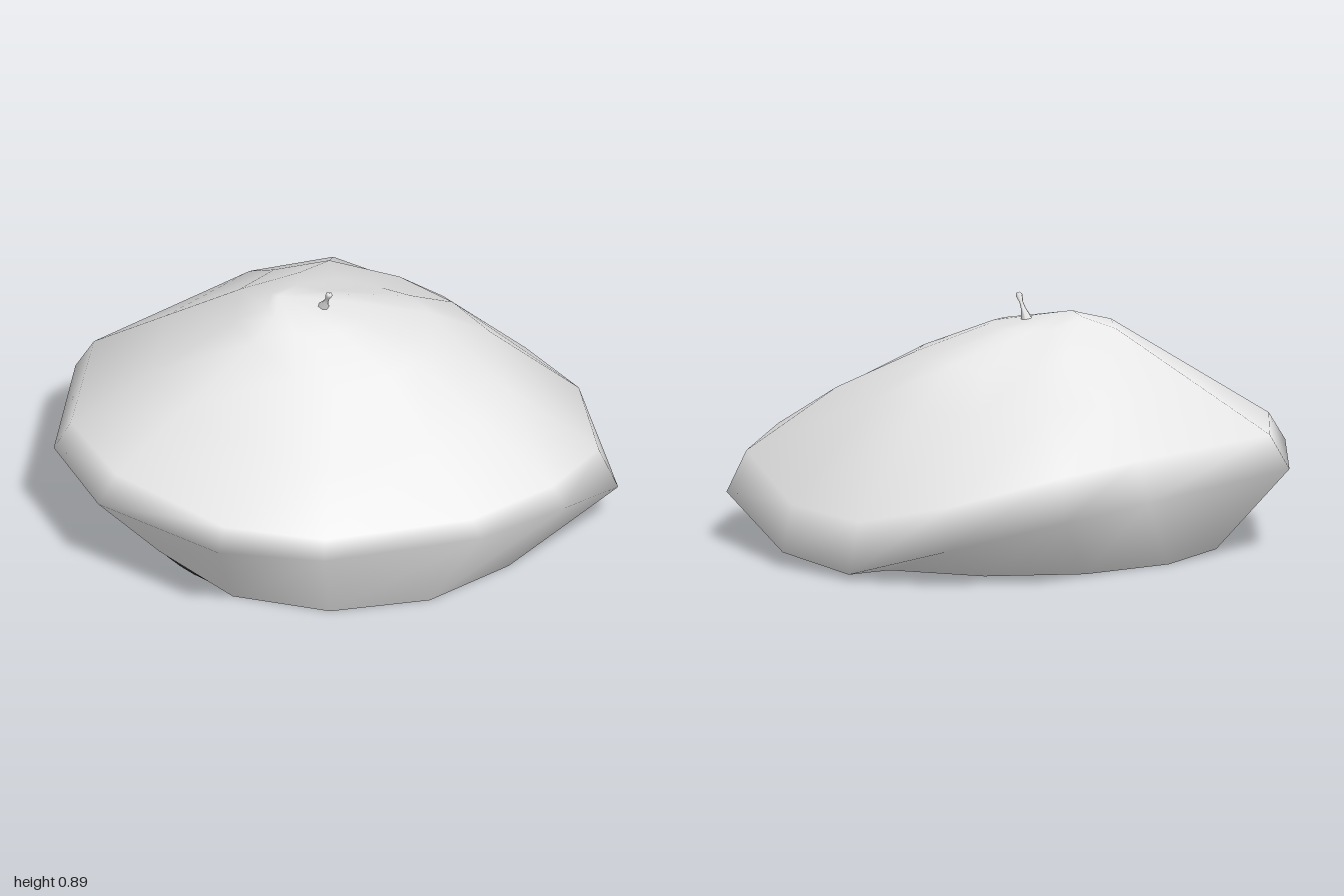
import * as THREE from 'three';

export function createModel() {
  const cloth = new THREE.MeshStandardMaterial({ color: 0xe8e8e8, side: THREE.DoubleSide });
  cloth.name = 'pale grey cloth';
  const dark = new THREE.MeshStandardMaterial({ color: 0x222222, side: THREE.DoubleSide });
  dark.name = 'black lining';

  const group = new THREE.Group();
  group.name = 'softCap';

  const add = (name, geometry, material) => {
    const mesh = new THREE.Mesh(geometry, material);
    mesh.name = name;
    group.add(mesh);
    return mesh;
  };

  // Widest outline of the cap: x, z, height of the rim, height and inset of the shoulder above it
  const outline = [
    [1.0, -0.13, 0.02, 0.20, 0.94], [0.94, 0.24, 0.05, 0.22, 0.96], [0.65, 0.77, 0.17, 0.32, 0.93],
    [0.3, 0.91, 0.29, 0.36, 0.94], [-0.09, 0.92, 0.32, 0.365, 0.93], [-0.62, 0.69, 0.32, 0.38, 0.95],
    [-0.88, 0.41, 0.32, 0.40, 0.95], [-1.0, -0.12, 0.31, 0.41, 0.925], [-0.89, -0.51, 0.31, 0.41, 0.94],
    [-0.48, -0.9, 0.30, 0.42, 0.93], [0.3, -0.93, 0.28, 0.42, 0.92], [0.64, -0.84, 0.24, 0.39, 0.93],
    [0.9, -0.5, 0.13, 0.28, 0.94],
  ];
  const n = outline.length;

  // Cross-section rings from the head opening up to the crown
  const rings = [[], [], [], [], [], []];
  outline.forEach(([x, z, rimY, shoulderY, inset], i) => {
    const r = Math.hypot(x, z), dx = x / r, dz = z / r;
    const angle = -0.13 + i * 2 * Math.PI / n;
    const lift = i === 7 ? 0.03 : 0;
    const sag = Math.max(0, -dx * dz);
    const topRadius = 0.36 - 0.03 * dz;
    const shoulder = new THREE.Vector3(x * inset, shoulderY, z * inset);
    const top = new THREE.Vector3(
      dx * topRadius, 0.73 - 0.036 * (dx + dz) - 0.12 * sag, dz * topRadius);
    const middle = shoulder.clone().lerp(top, 0.5);
    const bulge = Math.max(0, dx);
    middle.x -= 0.07 * bulge * dx;
    middle.y += 0.11 * bulge * dx;
    rings[0].push(new THREE.Vector3(Math.cos(angle) * 0.755, lift, Math.sin(angle) * 0.75));
    rings[1].push(new THREE.Vector3(x, rimY, z));
    rings[2].push(shoulder);
    rings[3].push(middle);
    rings[4].push(top);
    rings[5].push(new THREE.Vector3(
      -0.07 + dx * 0.16, 0.795 - 0.012 * (dx + dz) - 0.04 * sag, -0.06 + dz * 0.17));
  });
  const points = rings.flat();
  const apex = points.push(new THREE.Vector3(-0.15, 0.828, -0.16)) - 1;
  const index = [];
  for (let j = 0; j < rings.length; j++) {
    for (let i = 0; i < n; i++) {
      const a = j * n + i, b = j * n + (i + 1) % n;
      if (j === rings.length - 1) index.push(a, apex, b);
      else index.push(a, a + n, b, b, a + n, b + n);
    }
  }
  const shell = new THREE.BufferGeometry().setFromPoints(points);
  shell.setIndex(index);
  shell.computeVertexNormals();
  add('capShell', shell, cloth);

  // Dark band lining the head opening
  const band = add('innerBand', new THREE.CylinderGeometry(0.69, 0.725, 0.22, 64, 1, true), dark);
  band.position.y = 0.111;

  // Little leaning stalk on the crown: wide foot, thin neck, small knob
  const profile = [[0.026, -0.01], [0.009, 0.05], [0.007, 0.075], [0.013, 0.1], [0.009, 0.11], [0, 0.112]];
  const stalk = add('stalk', new THREE.LatheGeometry(profile.map(([r, y]) => new THREE.Vector2(r, y)), 6), cloth);
  stalk.position.set(-0.04, 0.79, -0.045);
  stalk.quaternion.setFromUnitVectors(
    new THREE.Vector3(0, 1, 0), new THREE.Vector3(-0.015, 0.1, 0.06).normalize());

  return group;
}
